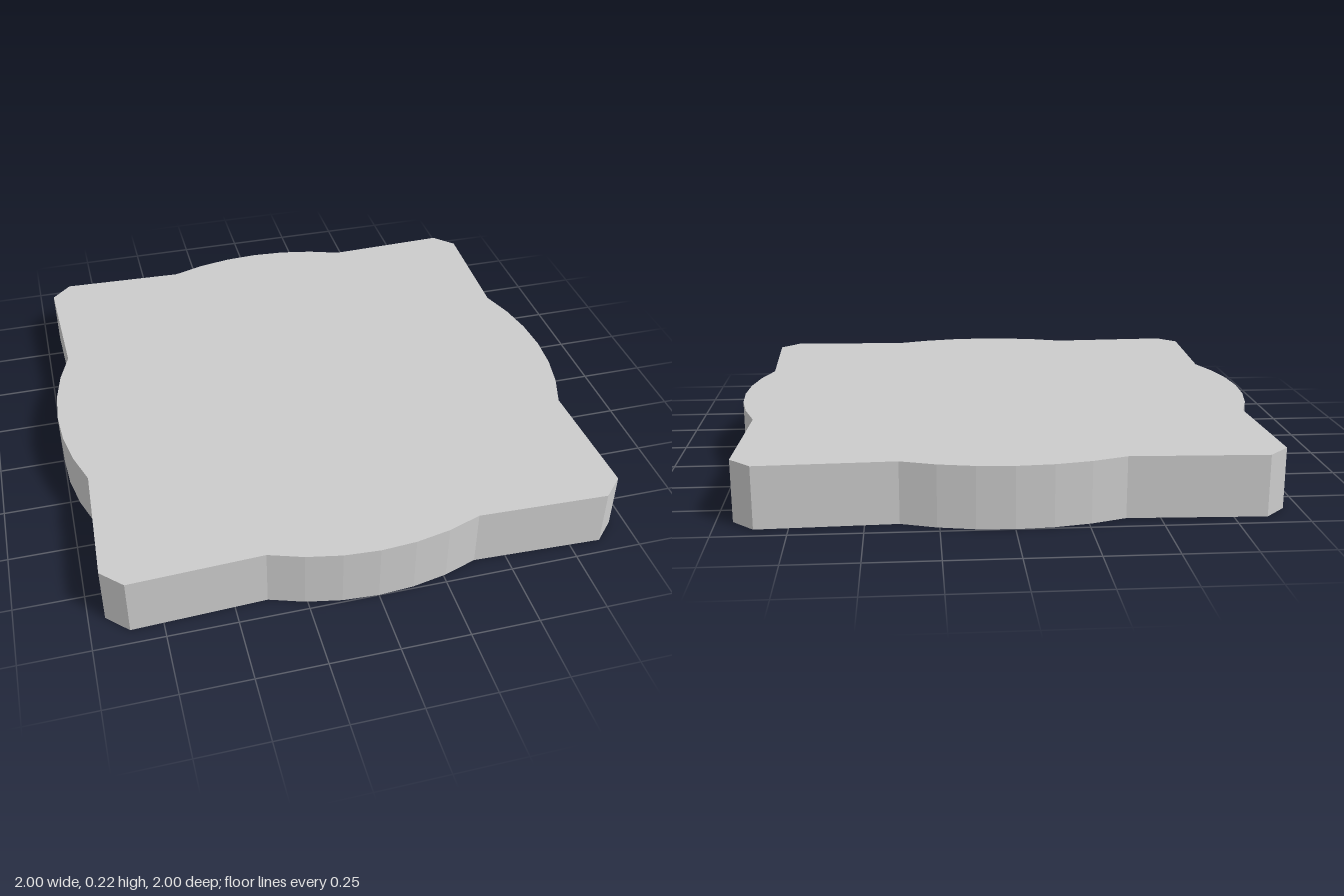
import * as THREE from 'three';

const HEIGHT = 0.22;
const ARC_STEPS = 6;      // facets of each bulging side
const ARC_HALF = Math.PI / 8;
const CORNER_FAR = 0.942; // chamfered corner, long and short coordinate
const CORNER_NEAR = 0.866;

// Square outline with a bulging arc mid-side and chamfered corners
function tileOutline() {
  const points = [];
  const origin = new THREE.Vector2();
  for (let side = 0; side < 4; side++) {
    const turn = side * Math.PI / 2;
    const add = (x, y) => points.push(new THREE.Vector2(x, y).rotateAround(origin, turn));
    add(CORNER_FAR, -CORNER_NEAR);
    for (let i = 0; i <= ARC_STEPS; i++) {
      const a = -ARC_HALF + 2 * ARC_HALF * i / ARC_STEPS;
      add(Math.cos(a), Math.sin(a));
    }
    add(CORNER_FAR, CORNER_NEAR);
  }
  return new THREE.Shape(points);
}

export function createModel() {
  const group = new THREE.Group();
  group.name = 'floorTile';

  // Flat slab, extruded upwards from the ground
  const geometry = new THREE.ExtrudeGeometry(tileOutline(), { depth: HEIGHT, bevelEnabled: false });
  geometry.rotateX(-Math.PI / 2);
  const material = new THREE.MeshStandardMaterial({ color: 0xcccccc, flatShading: true });
  const slab = new THREE.Mesh(geometry, material);
  slab.name = 'slab';
  group.add(slab);

  return group;
}
